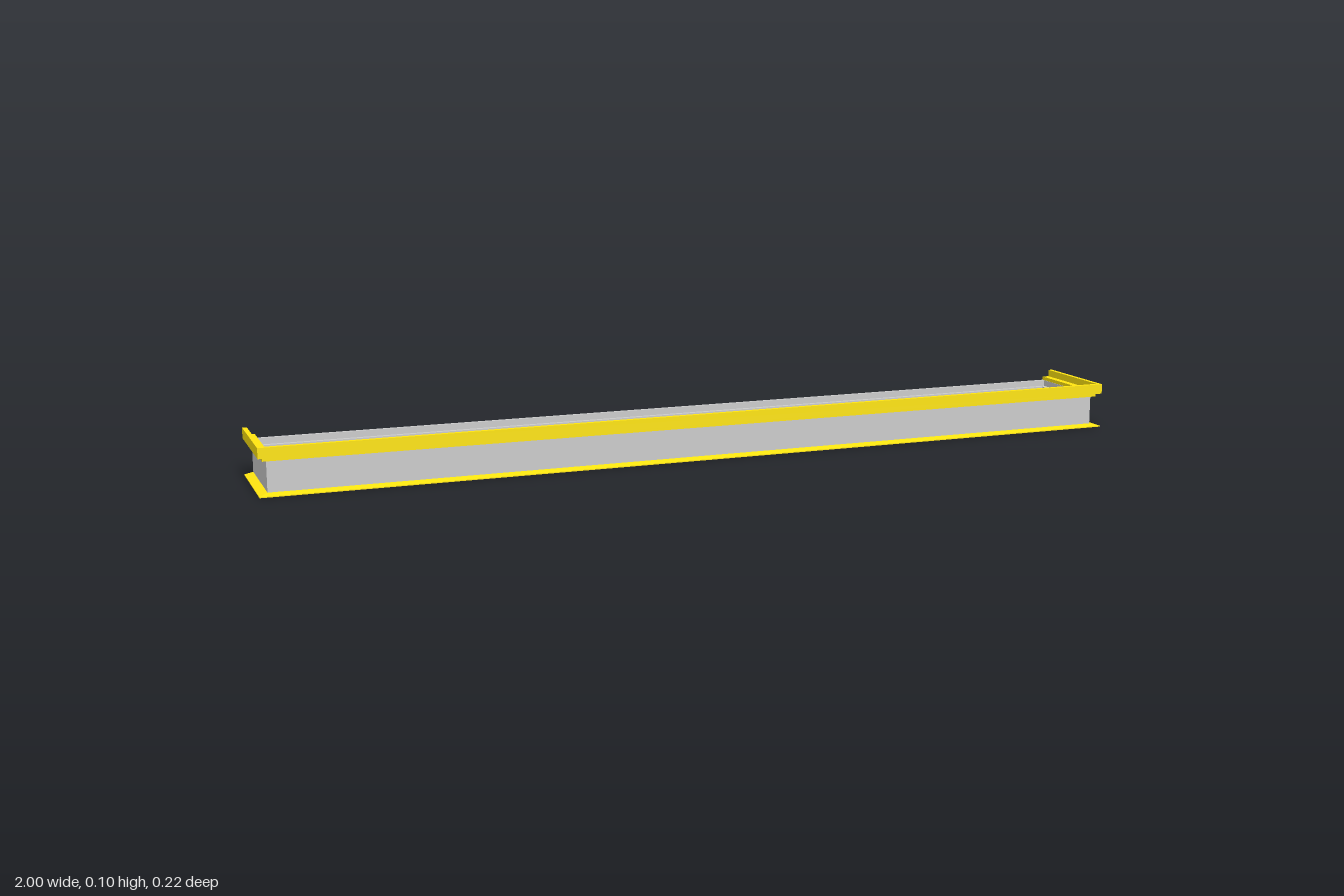
import * as THREE from 'three';

const X = 0.98, FRONT = 0.093, BACK = -0.111; // outer faces of the wall

// Sweeps a counter-clockwise [outward, y] profile round the rectangle with mitred corners.
// closed: all four sides; otherwise right end, front and left end only.
function sweep(profile, closed) {
  const stations = [
    u => [X + u, closed ? BACK - u : BACK],
    u => [X + u, FRONT + u],
    u => [-X - u, FRONT + u],
    u => [-X - u, closed ? BACK - u : BACK],
  ];
  const pos = [];
  const put = (s, p) => {
    const [x, z] = stations[s](p[0]);
    pos.push(x, p[1], z);
  };
  const n = profile.length;
  for (let s = 0; s < (closed ? 4 : 3); s++) {
    const t = (s + 1) % 4;
    for (let i = 0; i < n; i++) {
      const a = profile[i], b = profile[(i + 1) % n];
      put(s, a); put(s, b); put(t, b);
      put(s, a); put(t, b); put(t, a);
    }
  }
  if (!closed) {
    const pts = profile.map(p => new THREE.Vector2(p[0], p[1]));
    for (const [a, b, c] of THREE.ShapeUtils.triangulateShape(pts, [])) {
      for (const i of [c, b, a]) put(0, profile[i]);
      for (const i of [a, b, c]) put(3, profile[i]);
    }
  }
  const geo = new THREE.BufferGeometry();
  geo.setAttribute('position', new THREE.Float32BufferAttribute(pos, 3));
  geo.computeVertexNormals();
  return geo;
}

export function createModel() {
  const group = new THREE.Group();
  const grey = new THREE.MeshStandardMaterial({ color: 0xcccccc });
  const yellow = new THREE.MeshStandardMaterial({ color: 0xffe510 });
  const green = new THREE.MeshStandardMaterial({ color: 0x22aa33 });
  const add = (name, geo, mat, x = 0, y = 0, z = 0) => {
    const mesh = new THREE.Mesh(geo, mat);
    mesh.name = name;
    mesh.position.set(x, y, z);
    group.add(mesh);
    return mesh;
  };

  // Grey frame with an inner wall and a stepped ledge
  add('frame', sweep([
    [0, 0], [0, 0.08], [-0.008, 0.08], [-0.008, 0.066], [-0.018, 0.066],
    [-0.018, 0.052], [-0.036, 0.052], [-0.04, 0.046], [-0.04, 0],
  ], true), grey);

  // Yellow angle along the top: inner foot and raised outer lip
  add('topAngle', sweep([
    [-0.007, 0.073], [0.009, 0.073], [0.009, 0.081], [0.019, 0.081],
    [0.019, 0.104], [0.009, 0.104], [0.009, 0.088], [-0.007, 0.088],
  ], false), yellow);

  // Tapered yellow flange at the base
  add('baseFlange', sweep([
    [-0.004, 0], [0.019, 0], [0.019, 0.002], [0, 0.006], [-0.004, 0.006],
  ], false), yellow);

  // Small ribs along the ledge of the long sides
  const rib = new THREE.BoxGeometry(0.012, 0.005, 0.008);
  const count = 48;
  const ribs = new THREE.InstancedMesh(rib, grey, 0);
  ribs.name = 'ledgeRibs';
  const ribGroup = new THREE.Group();
  ribGroup.name = 'ledgeRibs';
  for (const z of [BACK + 0.022, FRONT - 0.022]) {
    for (let i = 0; i < count; i++) {
      const mesh = new THREE.Mesh(rib, grey);
      mesh.name = 'ledgeRib';
      mesh.position.set(-0.92 + (1.84 * i) / (count - 1), 0.0545, z);
      ribGroup.add(mesh);
    }
  }
  group.add(ribGroup);

  // Thin green plate on the inner face of one end
  add('endPlate', new THREE.BoxGeometry(0.004, 0.04, 0.11), green, -0.938, 0.024, -0.009);

  return group;
}
